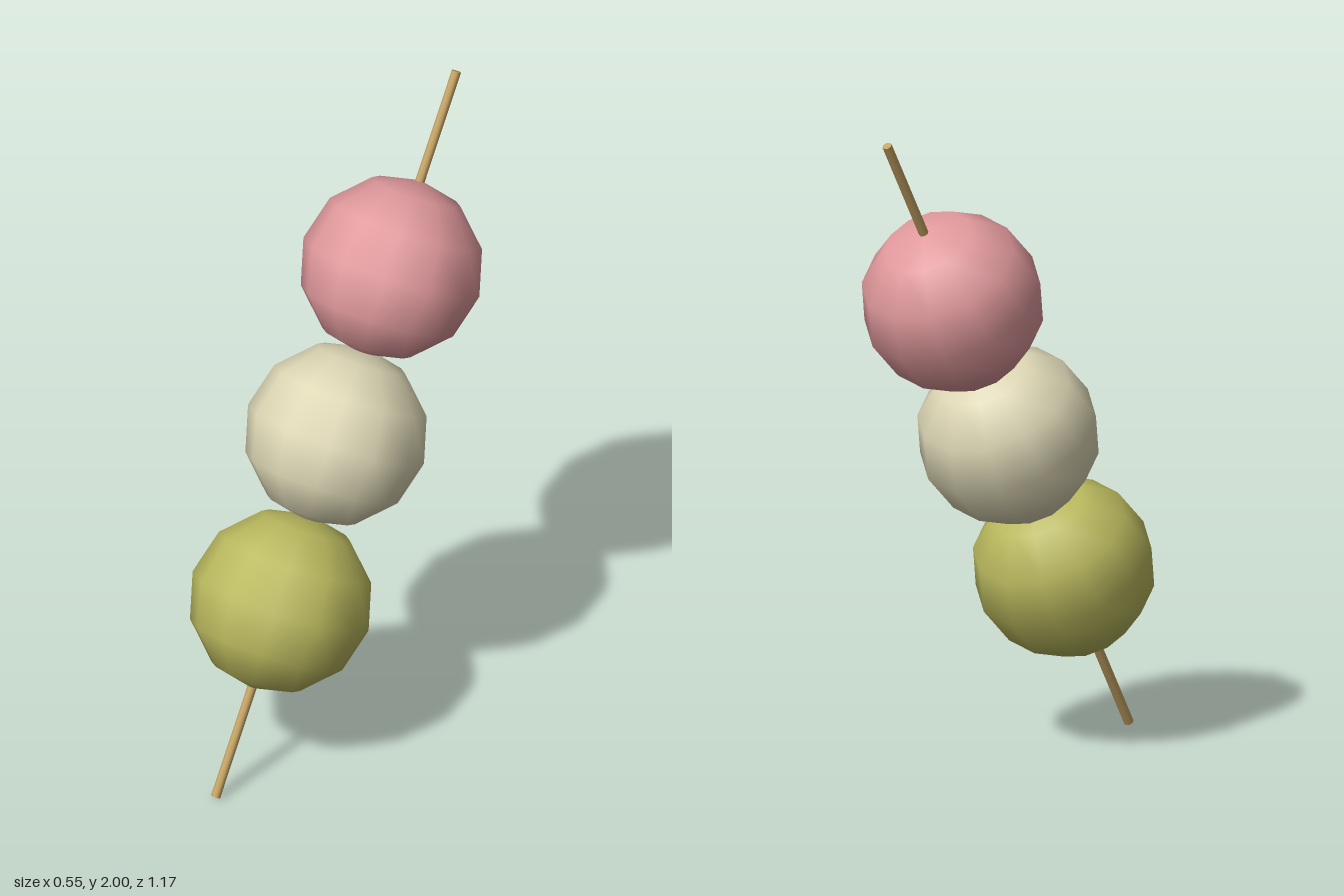
import * as THREE from 'three';

const flat = (name, color) => {
  const m = new THREE.MeshStandardMaterial({ color });
  m.name = name;
  return m;
};

export function createModel() {
  const group = new THREE.Group();
  group.name = 'dumplingSkewer';

  // Everything is threaded on one axis, then leaned backwards as a whole
  const skewer = new THREE.Group();
  skewer.name = 'skewer';
  skewer.position.y = 1;
  skewer.rotation.x = -Math.PI / 6;
  group.add(skewer);

  // Thin wooden stick
  const stick = new THREE.Mesh(
    new THREE.CylinderGeometry(0.0145, 0.0145, 2.292, 8),
    flat('wood', 0xc4a262)
  );
  stick.name = 'stick';
  skewer.add(stick);

  // Three low-poly, smooth-shaded balls, slightly overlapping
  const ball = new THREE.SphereGeometry(0.275, 12, 6);
  const spacing = 0.527;
  [
    ['bottomBall', flat('green', 0xbab95e)],
    ['middleBall', flat('cream', 0xddd7b5)],
    ['topBall', flat('pink', 0xe0999c)],
  ].forEach(([name, material], i) => {
    const mesh = new THREE.Mesh(ball, material);
    mesh.name = name;
    mesh.position.y = (i - 1) * spacing;
    skewer.add(mesh);
  });

  return group;
}
